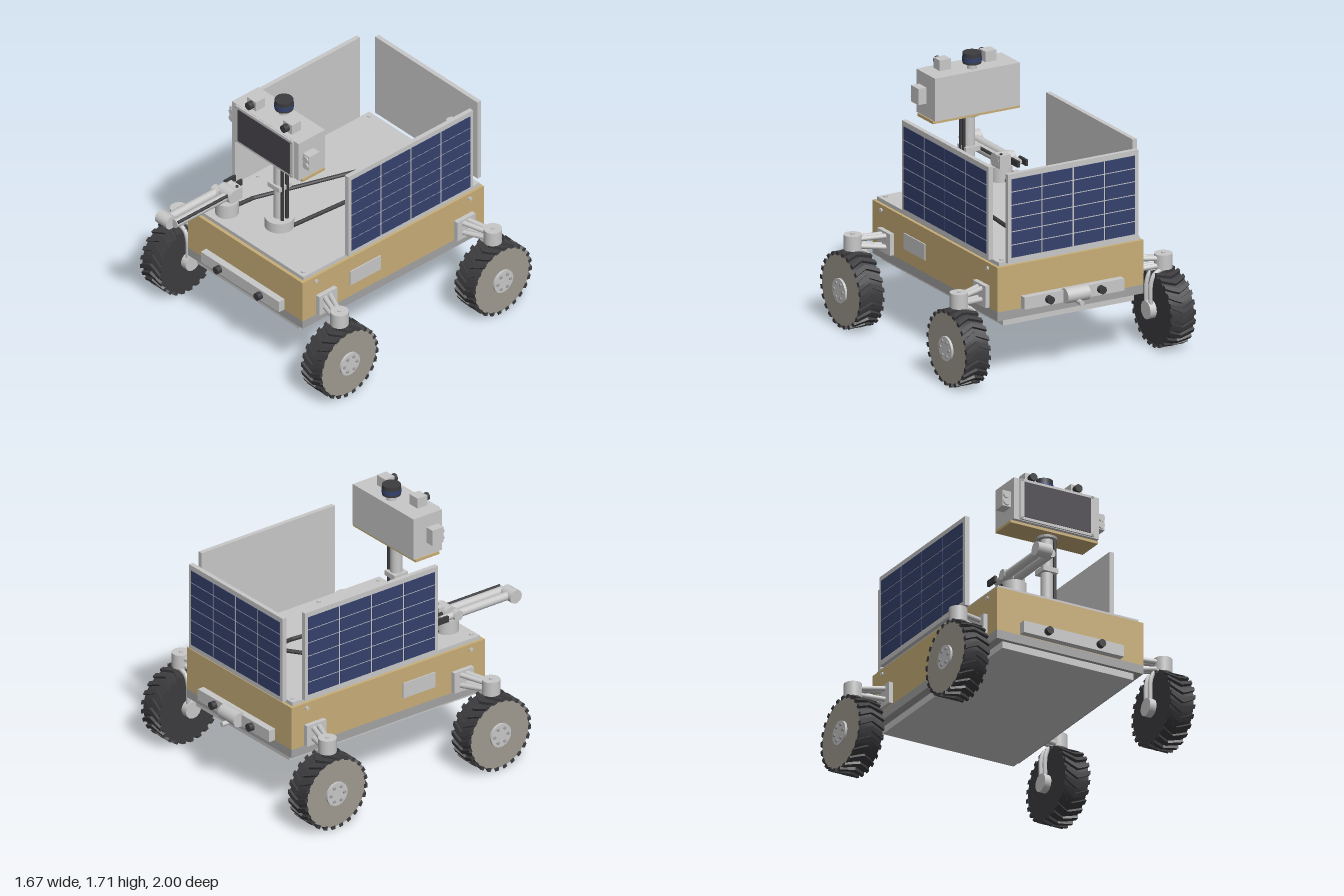
import * as THREE from 'three';

const mat = (name, color) => {
  const m = new THREE.MeshStandardMaterial({ color });
  m.name = name;
  return m;
};

export function createModel() {
  const light = mat('light grey', 0xc8c8c8);
  const mid = mat('mid grey', 0xa3a3a3);
  const gold = mat('gold foil', 0xc8ae78);
  const dark = mat('dark rubber', 0x3c3c3f);
  const screenMat = mat('screen', 0x47454b);
  const navy = mat('solar navy', 0x35416d);
  const taupe = mat('wheel disc', 0xa09a90);

  const root = new THREE.Group();
  root.name = 'rover';

  const add = (parent, name, geo, material, x = 0, y = 0, z = 0) => {
    const m = new THREE.Mesh(geo, material);
    m.name = name;
    m.position.set(x, y, z);
    parent.add(m);
    return m;
  };
  const group = (name, parent = root) => {
    const g = new THREE.Group();
    g.name = name;
    parent.add(g);
    return g;
  };
  // box given by its min and max on each axis
  const box = (p, name, m, [x0, x1], [y0, y1], [z0, z1]) =>
    add(p, name, new THREE.BoxGeometry(x1 - x0, y1 - y0, z1 - z0), m,
      (x0 + x1) / 2, (y0 + y1) / 2, (z0 + z1) / 2);
  // cylinder between two points
  const rod = (p, name, m, r, a, b, sides = 24) => {
    const A = new THREE.Vector3(...a), B = new THREE.Vector3(...b);
    const mesh = add(p, name, new THREE.CylinderGeometry(r, r, A.distanceTo(B), sides), m);
    mesh.position.copy(A).add(B).multiplyScalar(0.5);
    mesh.quaternion.setFromUnitVectors(new THREE.Vector3(0, 1, 0), B.sub(A).normalize());
    return mesh;
  };

  // Chassis
  const body = group('body');
  box(body, 'hull', gold, [-0.52, 0.52], [0.457, 0.745], [-0.862, 0.64]);
  box(body, 'skirt', mid, [-0.52, 0.52], [0.4, 0.457], [-0.862, 0.64]);
  box(body, 'bellyPlate', light, [-0.465, 0.465], [0.355, 0.4], [-0.835, 0.615]);
  box(body, 'deck', light, [-0.5, 0.5], [0.745, 0.77], [-0.842, 0.617]);
  for (const s of [-1, 1]) {
    for (const z of [-0.81, -0.35, 0.115, 0.58])
      rod(body, 'deckBolt', light, 0.013, [s * 0.46, 0.77, z], [s * 0.46, 0.778, z], 12);
    for (const z of [-0.745, 0.53])
      rod(body, 'sideBolt', light, 0.013, [s * 0.518, 0.71, z], [s * 0.53, 0.71, z], 12);
    const hatch = box(body, 'sideHatch', light, [-0.004, 0.004], [0.542, 0.645], [0, 0.25]);
    hatch.position.x = s * 0.524;
  }

  // Hazard camera bars on both ends
  for (const [end, z] of [[1, 0.64], [-1, -0.862]]) {
    const bar = group(end > 0 ? 'frontCameraBar' : 'rearCameraBar');
    bar.position.z = z;
    bar.rotation.y = end > 0 ? 0 : Math.PI;
    box(bar, 'bar', light, [-0.355, 0.355], [0.46, 0.538], [0, 0.046]);
    for (const s of [-1, 1])
      rod(bar, 'lens', dark, 0.025, [s * 0.185, 0.5, 0.04], [s * 0.185, 0.5, 0.08]);
  }
  const coupling = group('rearCoupling');
  rod(coupling, 'couplingDrum', light, 0.048, [-0.08, 0.505, -0.922], [0.08, 0.505, -0.922]);
  rod(coupling, 'couplingPin', light, 0.016, [0, 0.467, -0.92], [0, 0.467, -1.0], 12);

  // Solar panel built facing +z: width w, height h, 4 x 6 cells
  const solarPanel = (name, w, h) => {
    const g = group(name);
    box(g, 'panelFrame', light, [-w / 2, w / 2], [0, h], [-0.03, 0]);
    const cw = (w - 0.04) / 4, ch = (h - 0.06) / 6;
    for (let i = 0; i < 4; i++)
      for (let j = 0; j < 6; j++)
        add(g, 'solarCell', new THREE.BoxGeometry(cw - 0.011, ch - 0.007, 0.006), navy,
          -w / 2 + 0.02 + cw * (i + 0.5), 0.03 + ch * (j + 0.5), 0.001);
    return g;
  };
  for (const s of [-1, 1]) {
    const side = solarPanel(s > 0 ? 'leftSolarPanel' : 'rightSolarPanel', 1.035, 0.6);
    side.position.set(s * 0.528, 0.77, -0.248);
    side.rotation.y = s * Math.PI / 2;
  }
  const back = solarPanel('rearSolarPanel', 0.93, 0.575);
  back.position.set(0, 0.772, -0.89);
  back.rotation.y = Math.PI;

  // Wheels and suspension, built for +x and turned or mirrored by sign
  const chevron = new THREE.Shape([
    [-0.085, 0.022], [-0.045, 0], [0, -0.02], [0.045, 0], [0.085, 0.022],
    [0.085, 0.05], [0.045, 0.03], [0, 0.01], [-0.045, 0.03], [-0.085, 0.05],
  ].map(([x, y]) => new THREE.Vector2(x, y - 0.015)));
  const lugGeo = new THREE.ExtrudeGeometry(chevron, { depth: 0.024, bevelEnabled: false });
  lugGeo.translate(0, 0, 0.219);
  const tyreGeo = new THREE.CylinderGeometry(0.225, 0.225, 0.166, 48);
  tyreGeo.rotateZ(-Math.PI / 2);
  const LUGS = 24;
  for (const s of [-1, 1])
    for (const [label, z, rootZ] of [['front', 0.525, 0.455], ['rear', -0.747, -0.69]]) {
      const wheel = group(label + 'Wheel');
      wheel.position.set(s * 0.73, 0.243, z);
      wheel.rotation.y = s > 0 ? 0 : Math.PI;
      add(wheel, 'tyre', tyreGeo, [dark, taupe, dark]);
      for (let i = 0; i < LUGS; i++) {
        const lug = add(wheel, 'treadLug', lugGeo, dark);
        lug.rotation.x = (i / LUGS) * Math.PI * 2;
      }
      rod(wheel, 'hubCap', light, 0.078, [0.08, 0, 0], [0.098, 0, 0], 32);
      for (let i = 0; i < 6; i++) {
        const a = (i / 6) * Math.PI * 2, y = 0.052 * Math.sin(a), c = 0.052 * Math.cos(a);
        rod(wheel, 'hubBolt', mid, 0.01, [0.095, y, c], [0.106, y, c], 8);
      }
      rod(wheel, 'hubMotor', light, 0.058, [-0.128, 0, 0], [-0.08, 0, 0], 32);

      const sus = group(label + 'Suspension');
      rod(sus, 'steeringActuator', light, 0.057, [s * 0.728, 0.497, z], [s * 0.728, 0.592, z], 32);
      rod(sus, 'actuatorCap', light, 0.013, [s * 0.728, 0.59, z], [s * 0.728, 0.6, z], 12);
      const plate = box(sus, 'mountPlate', light, [-0.016, 0.016], [0.462, 0.602], [rootZ - 0.075, rootZ + 0.075]);
      plate.position.x = s * 0.534;
      for (const [y0, y1] of [[0.575, 0.562], [0.503, 0.52]])
        for (const dz of [-0.022, 0.022])
          rod(sus, 'suspensionArm', light, 0.017, [s * 0.54, y0, rootZ + dz], [s * 0.72, y1, z + dz * 0.7], 12);
      for (const dz of [-0.026, 0.026]) {
        const path = new THREE.CatmullRomCurve3([[0.715, 0.5], [0.65, 0.475], [0.625, 0.42], [0.622, 0.25]]
          .map(([x, y]) => new THREE.Vector3(s * x, y, z + dz)));
        add(sus, 'wheelFork', new THREE.TubeGeometry(path, 16, 0.014, 10), light);
      }
    }

  // Mast
  const mast = group('mast');
  rod(mast, 'mastBase', light, 0.092, [0, 0.77, 0.357], [0, 0.84, 0.357], 32);
  rod(mast, 'mastPole', light, 0.038, [0, 0.84, 0.357], [0, 1.31, 0.357]);
  rod(mast, 'mastNeck', mid, 0.065, [0, 1.29, 0.357], [0, 1.308, 0.357]);
  box(mast, 'cableClamp', light, [-0.052, 0.052], [1.063, 1.095], [0.305, 0.409]);
  for (const z of [0.338, 0.376])
    rod(mast, 'mastCable', dark, 0.011, [0.047, 0.8, z], [0.047, 1.31, z], 10);

  // Sensor head
  const head = group('sensorHead');
  box(head, 'headBase', gold, [-0.31, 0.31], [1.306, 1.324], [0.265, 0.45]);
  box(head, 'headBox', light, [-0.302, 0.302], [1.324, 1.602], [0.255, 0.475]);
  box(head, 'screenBezel', light, [-0.262, 0.262], [1.328, 1.6], [0.475, 0.487]);
  box(head, 'screen', screenMat, [-0.235, 0.235], [1.346, 1.582], [0.485, 0.491]);
  for (const s of [-1, 1]) {
    for (const y of [1.337, 1.591])
      rod(head, 'bezelScrew', mid, 0.008, [s * 0.248, y, 0.485], [s * 0.248, y, 0.492], 8);
    const pod = box(head, 'sidePod', light, [-0.029, 0.029], [1.412, 1.517], [0.355, 0.442]);
    pod.position.x = s * 0.333;
    for (const y of [1.441, 1.488])
      rod(head, 'podLens', light, 0.023, [s * 0.335, y, 0.44], [s * 0.335, y, 0.452], 20);
    const cam = box(head, 'topCamera', light, [-0.04, 0.04], [1.602, 1.67], [0.365, 0.44]);
    cam.position.x = s * 0.163;
    rod(head, 'topCameraLens', dark, 0.025, [s * 0.16, 1.638, 0.43], [s * 0.16, 1.638, 0.476]);
  }
  rod(head, 'beaconStem', light, 0.032, [0, 1.6, 0.32], [0, 1.64, 0.32]);
  rod(head, 'beacon', dark, 0.058, [0, 1.636, 0.32], [0, 1.705, 0.32], 32);
  rod(head, 'beaconBand', navy, 0.0605, [0, 1.65, 0.32], [0, 1.678, 0.32], 32);

  // Folded arm: out along the inner link, back along the outer one
  const arm = group('roboticArm');
  rod(arm, 'armBase', light, 0.073, [-0.315, 0.77, 0.505], [-0.315, 0.865, 0.505], 32);
  rod(arm, 'shoulder', light, 0.048, [-0.375, 0.905, 0.49], [-0.26, 0.905, 0.49]);
  rod(arm, 'upperArm', light, 0.029, [-0.31, 0.9, 0.49], [-0.31, 0.9, 0.945]);
  rod(arm, 'armCable', dark, 0.01, [-0.283, 0.922, 0.5], [-0.283, 0.922, 0.94], 10);
  rod(arm, 'elbow', light, 0.045, [-0.43, 0.9, 0.952], [-0.33, 0.9, 0.952]);
  rod(arm, 'forearm', light, 0.027, [-0.383, 0.9, 0.95], [-0.383, 0.9, 0.5]);
  rod(arm, 'wrist', light, 0.034, [-0.415, 0.9, 0.52], [-0.352, 0.9, 0.52]);
  rod(arm, 'toolHead', light, 0.022, [-0.383, 0.9, 0.5], [-0.383, 0.9, 0.4], 16);
  for (const x of [-0.41, -0.35])
    box(arm, 'gripperFinger', dark, [x - 0.008, x + 0.008], [0.885, 0.925], [0.35, 0.44]);
  box(arm, 'shoulderBracket', light, [-0.34, -0.262], [0.865, 0.95], [0.425, 0.48]);
  rod(arm, 'bracketBolt', dark, 0.01, [-0.285, 0.945, 0.45], [-0.285, 0.957, 0.45], 10);

  // Deck cables and antenna
  const cables = group('deckCables');
  for (const pts of [
    [[0.06, 0.82, -0.83], [0.14, 0.79, -0.35], [0.075, 0.785, 0.31]],
    [[0.285, 0.79, -0.635], [-0.055, 0.79, -0.4], [-0.3, 0.785, 0.3], [-0.315, 0.785, 0.45]],
  ])
    for (let i = 0; i + 1 < pts.length; i++) {
      rod(cables, 'cable', dark, 0.013, pts[i], pts[i + 1], 10);
      if (i) add(cables, 'cableBend', new THREE.SphereGeometry(0.013, 10, 8), dark, ...pts[i]);
    }
  const antenna = group('antenna');
  rod(antenna, 'antennaPole', light, 0.008, [0.345, 0.77, -0.755], [0.345, 1.195, -0.755], 12);
  rod(antenna, 'antennaDisc', light, 0.034, [0.345, 1.192, -0.755], [0.345, 1.204, -0.755]);

  return root;
}
